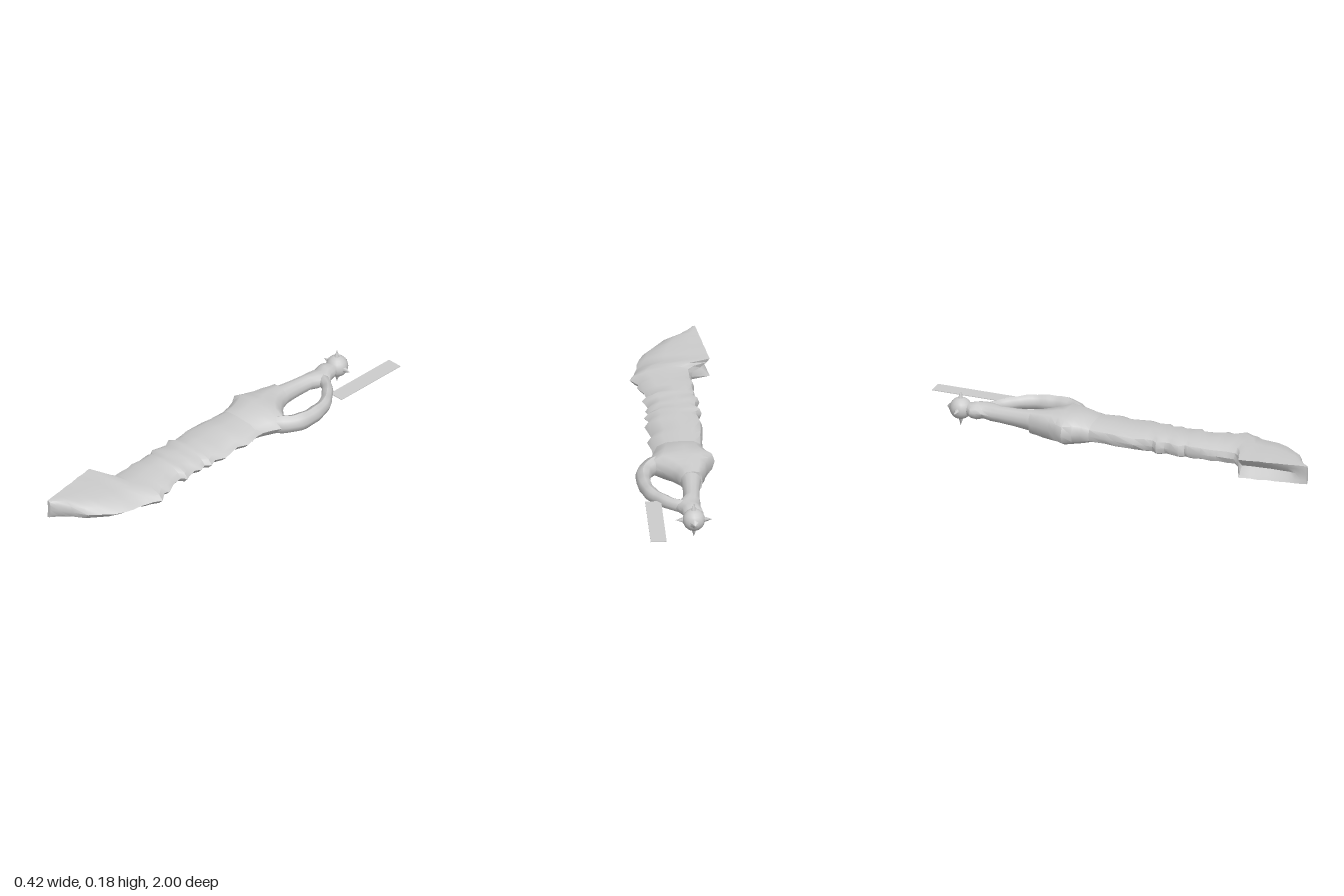
import * as THREE from 'three';
import { toCreasedNormals } from 'three/addons/utils/BufferGeometryUtils.js';

const material = new THREE.MeshStandardMaterial({ color: 0xcccccc });

// Upper half of each cross-section: [fraction of the width, fraction of the half height]
const ROUND = [[0, 0], [0.07, 0.5], [0.25, 0.87], [0.5, 1], [0.75, 0.87], [0.93, 0.5], [1, 0]];
const EDGED = [[0, 0], [0.04, 0.6], [0.17, 0.93], [0.42, 1], [0.74, 0.9], [0.92, 0.5], [1, 0]];
const HOOKED = [[0.13, 0], [0.04, 0.6], [0, 1], [0.25, 1], [0.6, 0.95], [0.88, 0.6], [1, 0]];

// Skin closed cross-sections along z; a row is [z, left x, right x, half height, blend to section B]
function loft(rows, sectionA, sectionB = sectionA) {
  const positions = [], index = [];
  const n = sectionA.length * 2 - 2;
  for (const [z, left, right, height, blend = 0] of rows) {
    for (let j = 0; j < n; j++) {
      const k = j < sectionA.length ? j : n - j;
      const u = THREE.MathUtils.lerp(sectionA[k][0], sectionB[k][0], blend);
      const v = THREE.MathUtils.lerp(sectionA[k][1], sectionB[k][1], blend);
      positions.push(left + (right - left) * u, v * height * (j === k ? 1 : -1), z);
    }
  }
  for (let i = 0; i < rows.length - 1; i++) {
    for (let j = 0; j < n; j++) {
      const a = i * n + j, b = i * n + (j + 1) % n;
      index.push(a, a + n, b, b, a + n, b + n);
    }
  }
  // End caps
  const last = rows.length - 1;
  for (const [i, flip] of [[0, false], [last, true]]) {
    const center = positions.length / 3;
    positions.push((rows[i][1] + rows[i][2]) / 2, 0, rows[i][0]);
    for (let j = 0; j < n; j++) {
      const a = i * n + j, b = i * n + (j + 1) % n;
      index.push(center, flip ? b : a, flip ? a : b);
    }
  }
  const geometry = new THREE.BufferGeometry();
  geometry.setAttribute('position', new THREE.Float32BufferAttribute(positions, 3));
  geometry.setIndex(index);
  return toCreasedNormals(geometry, 0.75);
}

export function createModel() {
  const group = new THREE.Group();
  group.position.y = 0.09;
  const add = (name, geometry, parent = group) => {
    const mesh = new THREE.Mesh(geometry, material);
    mesh.name = name;
    parent.add(mesh);
    return mesh;
  };

  // Blade root: swells out of the grip into the shoulder
  add('shoulder', loft([
    [-0.43, -0.105, 0.0, 0.054], [-0.39, -0.112, 0.015, 0.058],
    [-0.36, -0.125, 0.04, 0.062], [-0.32, -0.135, 0.08, 0.066],
    [-0.28, -0.155, 0.15, 0.068], [-0.24, -0.175, 0.145, 0.068],
    [-0.20, -0.145, 0.125, 0.066], [-0.16, -0.13, 0.11, 0.06],
    [-0.12, -0.125, 0.108, 0.048],
  ], EDGED));

  // Blade with ragged, folded edges
  add('blade', loft([
    [-0.16, -0.13, 0.11, 0.046], [-0.12, -0.125, 0.11, 0.048],
    [-0.04, -0.13, 0.128, 0.045], [0.01, -0.135, 0.106, 0.047],
    [0.11, -0.14, 0.13, 0.044], [0.16, -0.128, 0.108, 0.047],
    [0.20, -0.125, 0.126, 0.045], [0.225, -0.145, 0.104, 0.046],
    [0.26, -0.125, 0.118, 0.044], [0.29, -0.127, 0.102, 0.047],
    [0.335, -0.142, 0.115, 0.044], [0.36, -0.122, 0.126, 0.046],
    [0.38, -0.127, 0.1, 0.047], [0.44, -0.122, 0.112, 0.044],
    [0.49, -0.128, 0.14, 0.046], [0.52, -0.12, 0.132, 0.043],
    [0.57, -0.12, 0.17, 0.047], [0.61, -0.118, 0.148, 0.044],
    [0.635, -0.142, 0.142, 0.047, 0.3], [0.672, -0.213, 0.13, 0.046, 1],
    [0.72, -0.205, 0.125, 0.044, 1], [0.76, -0.2, 0.113, 0.047, 1],
    [0.81, -0.192, 0.09, 0.044, 1], [0.85, -0.187, 0.052, 0.046, 1],
    [0.90, -0.179, 0.008, 0.045, 1], [0.935, -0.174, -0.06, 0.046, 1],
    [0.97, -0.169, -0.115, 0.046, 1], [0.995, -0.165, -0.145, 0.045, 1],
  ], EDGED, HOOKED));

  // Grip and collar
  add('grip', loft([
    [-0.76, -0.07, -0.005, 0.03], [-0.735, -0.09, 0.008, 0.036],
    [-0.71, -0.085, 0.012, 0.042], [-0.68, -0.078, 0.035, 0.036],
    [-0.64, -0.082, 0.02, 0.04], [-0.60, -0.08, -0.004, 0.039],
    [-0.52, -0.086, -0.008, 0.043], [-0.45, -0.095, -0.006, 0.049],
    [-0.39, -0.11, 0.01, 0.055], [-0.34, -0.115, 0.03, 0.055],
  ], ROUND));

  // Hand guard: a faceted bow beside the grip, thinner towards the pommel
  const path = new THREE.CatmullRomCurve3([
    [-0.01, -0.67], [0.05, -0.64], [0.1, -0.59], [0.148, -0.52],
    [0.17, -0.4], [0.155, -0.32], [0.1, -0.25], [0.04, -0.21],
  ].map(([x, z]) => new THREE.Vector3(x, 0, z)));
  const bow = new THREE.TubeGeometry(path, 28, 0.035, 8);
  const p = bow.attributes.position;
  for (let i = 0; i < p.count; i++) {
    const t = Math.floor(i / 9) / 28;
    const c = path.getPointAt(t);
    const s = 0.75 + 0.3 * THREE.MathUtils.smoothstep(t, 0.15, 0.75) + 0.04 * Math.sin(t * 40);
    p.setXYZ(i, c.x + (p.getX(i) - c.x) * s, p.getY(i) * s * 1.22, c.z + (p.getZ(i) - c.z) * s);
  }
  bow.computeVertexNormals();
  add('handGuard', bow);

  // Pommel: ball with a spike on five sides
  const pommel = new THREE.Group();
  pommel.name = 'pommel';
  pommel.position.set(-0.04, 0, -0.797);
  group.add(pommel);
  add('pommelBall', new THREE.SphereGeometry(0.053, 16, 10), pommel);
  const up = new THREE.Vector3(0, 1, 0);
  for (const [x, y, z, reach, radius] of [
    [0, 1, 0, 0.088, 0.018], [0, -1, 0, 0.088, 0.018],
    [1, 0, 0, 0.086, 0.018], [-1, 0, 0, 0.086, 0.018], [0, 0, -1, 0.068, 0.036],
  ]) {
    const direction = new THREE.Vector3(x, y, z);
    const length = reach - 0.035;
    const spike = add('pommelSpike', new THREE.ConeGeometry(radius, length, 6), pommel);
    spike.quaternion.setFromUnitVectors(up, direction);
    spike.position.copy(direction).multiplyScalar(reach - length / 2);
  }

  // Flat ribbon trailing behind the guard
  add('ribbon', new THREE.BoxGeometry(0.075, 0.003, 0.39)).position.set(0.138, 0, -0.805);

  return group;
}
